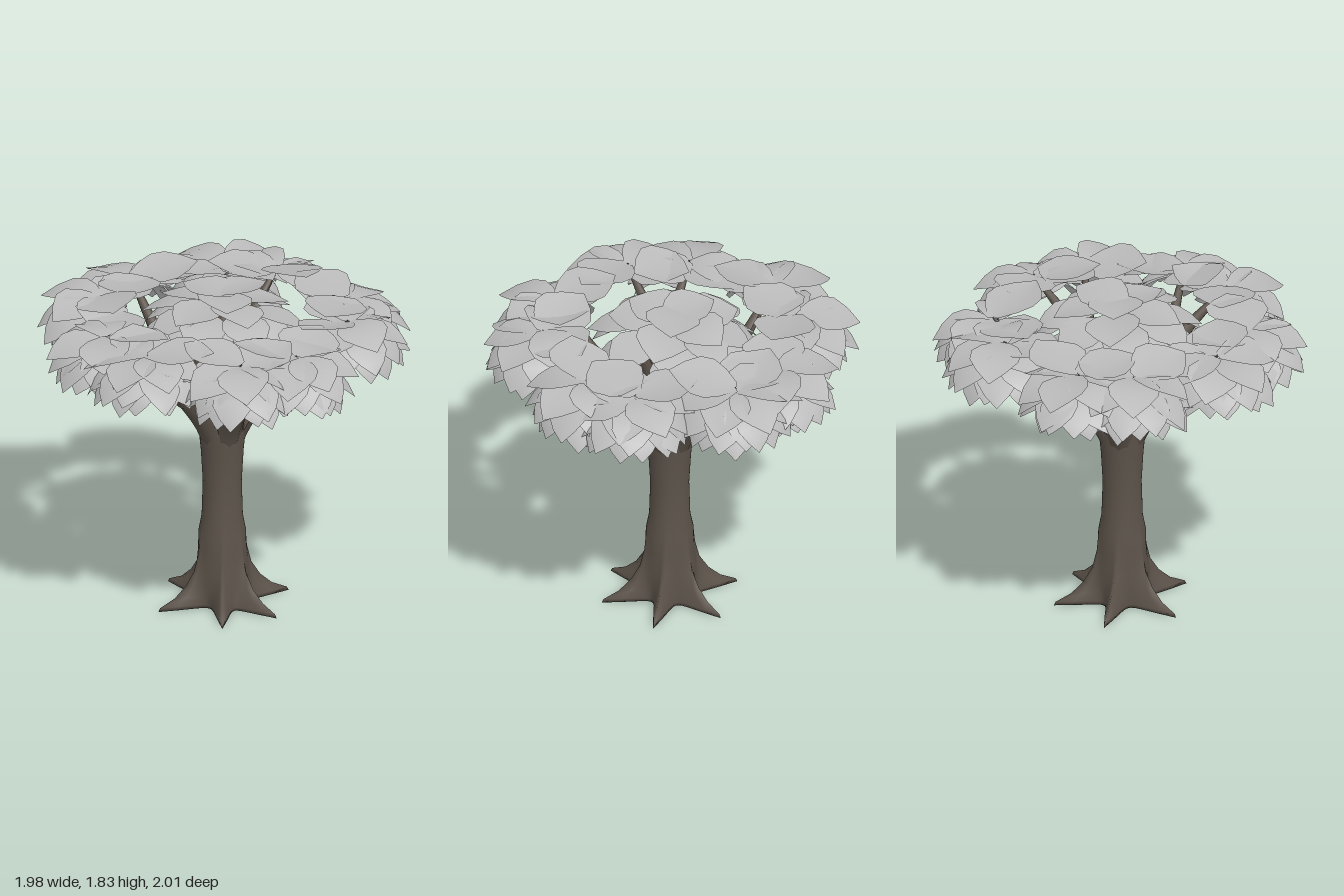
import * as THREE from 'three';
import { mergeGeometries } from 'three/addons/utils/BufferGeometryUtils.js';

const rad = THREE.MathUtils.degToRad;
const V = (x, y, z) => new THREE.Vector3(x, y, z);

// small seeded generator, returns -1..1
let seed = 7;
const jitter = () => {
  seed = (seed * 16807) % 2147483647;
  return (seed / 2147483647) * 2 - 1;
};

// smooth surface through a grid of points (rows x cols)
function gridSurface(rows, cols, point) {
  const pos = [], idx = [];
  for (let i = 0; i < rows; i++) for (let j = 0; j < cols; j++) pos.push(...point(i, j));
  for (let i = 0; i < rows - 1; i++) for (let j = 0; j < cols - 1; j++) {
    const a = i * cols + j, b = a + 1, c = a + cols, d = c + 1;
    idx.push(a, b, d, a, d, c);
  }
  const g = new THREE.BufferGeometry();
  g.setAttribute('position', new THREE.Float32BufferAttribute(pos, 3));
  g.setIndex(idx);
  g.computeVertexNormals();
  return g;
}

// trunk rings: height, base radius, root reach
const RINGS = [
  [0, 0, 0], [0, 0.11, 0.265], [0.02, 0.115, 0.25], [0.06, 0.125, 0.155], [0.12, 0.135, 0.08],
  [0.2, 0.135, 0.03], [0.3, 0.128, 0.012], [0.41, 0.126, 0.004], [0.5, 0.11, 0],
  [0.7, 0.104, 0], [0.88, 0.114, 0], [1.0, 0.126, 0], [1.08, 0.132, 0], [1.16, 0.11, 0], [1.2, 0, 0],
];
const ROOTS = [125, 75, 15, -45, -105, -170];

function trunkGeometry() {
  const n = 72;
  return gridSurface(RINGS.length, n + 1, (i, j) => {
    const [y, base, reach] = RINGS[i];
    const a = -((j % n) / n) * Math.PI * 2;
    let r = base;
    for (const deg of ROOTS) {
      const d = Math.atan2(Math.sin(a - rad(deg)), Math.cos(a - rad(deg)));
      r += reach * Math.exp(-Math.abs(d) / 0.18);
    }
    return [Math.cos(a) * r, y, Math.sin(a) * r];
  });
}

// tube that narrows from r0 to r1 and closes at its end
function branchGeometry(points, r0, r1) {
  const curve = new THREE.CatmullRomCurve3(points), segs = 10, sides = 10;
  const g = new THREE.TubeGeometry(curve, segs, 1, sides, false);
  const p = g.attributes.position, v = V(0, 0, 0);
  for (let i = 0; i <= segs; i++) {
    const c = curve.getPointAt(i / segs);
    const r = i === segs ? 0.004 : r0 + (r1 - r0) * (i / (segs - 1));
    for (let j = 0; j <= sides; j++) {
      const k = i * (sides + 1) + j;
      v.fromBufferAttribute(p, k).sub(c).multiplyScalar(r).add(c);
      p.setXYZ(k, v.x, v.y, v.z);
    }
  }
  g.computeVertexNormals();
  return g;
}

// broad pointed leaf bending from pitch p0 to p1, edges raised by cup;
// heading is measured from +x toward +z
const OUTLINE = [0.22, 0.7, 0.98, 0.95, 0.58, 0.02];
function leafGeometry(base, heading, length, width, p0, p1, cup) {
  const n = OUTLINE.length, spine = [[0, 0]];
  for (let i = 1; i < n; i++) {
    const pitch = rad(p0 + (p1 - p0) * ((i - 0.5) / (n - 1)));
    const [x, y] = spine[i - 1], step = length / (n - 1);
    spine.push([x + Math.cos(pitch) * step, y + Math.sin(pitch) * step]);
  }
  const g = gridSurface(n, 5, (i, j) => {
    const s = (2 - j) / 2, w = OUTLINE[i] * width;
    return [spine[i][0], spine[i][1] + cup * w * s * s, s * w];
  });
  g.rotateX(rad(jitter() * 10));
  g.rotateY(-rad(heading));
  g.translate(base.x, base.y, base.z);
  return g;
}

// fan of leaves in layers around a centre; a layer lists
// count, start radius, rise, length, half width, start pitch, end pitch, cup
function leafFan(center, layers, headingOf) {
  const leaves = [];
  layers.forEach(([count, start, rise, len, w, p0, p1, cup], k) => {
    for (let i = 0; i < count; i++) {
      const h = headingOf(k, i, count) + jitter() * 8;
      const base = V(Math.cos(rad(h)) * start, rise + jitter() * 0.015, Math.sin(rad(h)) * start).add(center);
      leaves.push(leafGeometry(base, h, len * (1 + jitter() * 0.06), w, p0 + jitter() * 7, p1 + jitter() * 7, cup));
    }
  });
  return mergeGeometries(leaves);
}

// outer sprays open away from the trunk
const SPRAY = [
  [2, 0.0, 0.005, 0.36, 0.17, 6, 8, 0.1],
  [5, 0.0, 0.0, 0.35, 0.14, 10, -40, 0.05],
  [6, 0.03, -0.02, 0.36, 0.115, 2, -64, -0.1],
  [7, 0.06, -0.03, 0.33, 0.1, -6, -76, -0.15],
];
const SPRAY_FAN = [125, 105, 88, 90];
function sprayGeometry(tip) {
  const out = THREE.MathUtils.radToDeg(Math.atan2(tip.z, tip.x));
  return leafFan(tip, SPRAY, (k, i, count) => out - SPRAY_FAN[k] + (2 * SPRAY_FAN[k] * i) / (count - 1));
}

// middle crown, all the way round
const CROWN = [
  [3, -0.06, 0.06, 0.32, 0.15, 6, -8, 0.1],
  [5, 0.04, 0.03, 0.33, 0.15, 8, -18, 0.08],
  [8, 0.13, 0.0, 0.34, 0.13, 6, -38, 0],
  [11, 0.2, -0.02, 0.34, 0.11, -2, -66, -0.12],
];

// pairs of branch tips (x, z) that share one limb
const LIMBS = [
  [[-0.12, -0.68], [-0.40, -0.56]],
  [[0.41, -0.56], [0.60, -0.34]],
  [[0.66, 0.20], [0.50, 0.46]],
  [[0.01, 0.68], [-0.30, 0.60]],
  [[-0.64, 0.21], [-0.66, -0.12]],
];

export function createModel() {
  const bark = new THREE.MeshStandardMaterial({ color: 0x5c534a });
  bark.name = 'bark';
  const foliage = new THREE.MeshStandardMaterial({ color: 0xbababa, side: THREE.DoubleSide });
  foliage.name = 'foliage';

  const tree = new THREE.Group();
  tree.name = 'tree';
  const add = (name, geometry, material) => {
    const mesh = new THREE.Mesh(geometry, material);
    mesh.name = name;
    tree.add(mesh);
  };

  add('trunkAndRoots', trunkGeometry(), bark);

  // forked limbs with a spray of leaves at every tip
  for (const pair of LIMBS) {
    const mx = (pair[0][0] + pair[1][0]) / 2, mz = (pair[0][1] + pair[1][1]) / 2;
    const fork = V(mx * 0.5, 1.34, mz * 0.5);
    add('limb', branchGeometry([V(mx * 0.01, 0.9, mz * 0.01), V(mx * 0.16, 1.08, mz * 0.16), fork, V(mx * 0.62, 1.42, mz * 0.62)], 0.088, 0.047), bark);
    for (const [x, z] of pair) {
      const tip = V(x, 1.675, z);
      add('branch', branchGeometry([V(mx * 0.38, 1.24, mz * 0.38), fork.clone().lerp(tip, 0.25), tip], 0.055, 0.016), bark);
      add('leafSpray', sprayGeometry(V(x, 1.66, z)), foliage);
    }
  }

  // upright branches below the crown
  for (const [x, z] of [[-0.12, 0.08], [0.13, 0.12], [0.1, -0.14], [-0.1, -0.13]]) {
    add('innerBranch', branchGeometry([V(x * 0.2, 1.0, z * 0.2), V(x * 0.6, 1.3, z * 0.6), V(x * 1.4, 1.68, z * 1.4)], 0.07, 0.025), bark);
  }
  add('crownLeaves', leafFan(V(0.02, 1.71, -0.02), CROWN, (k, i, count) => (360 * i) / count + k * 25), foliage);
  return tree;
}
